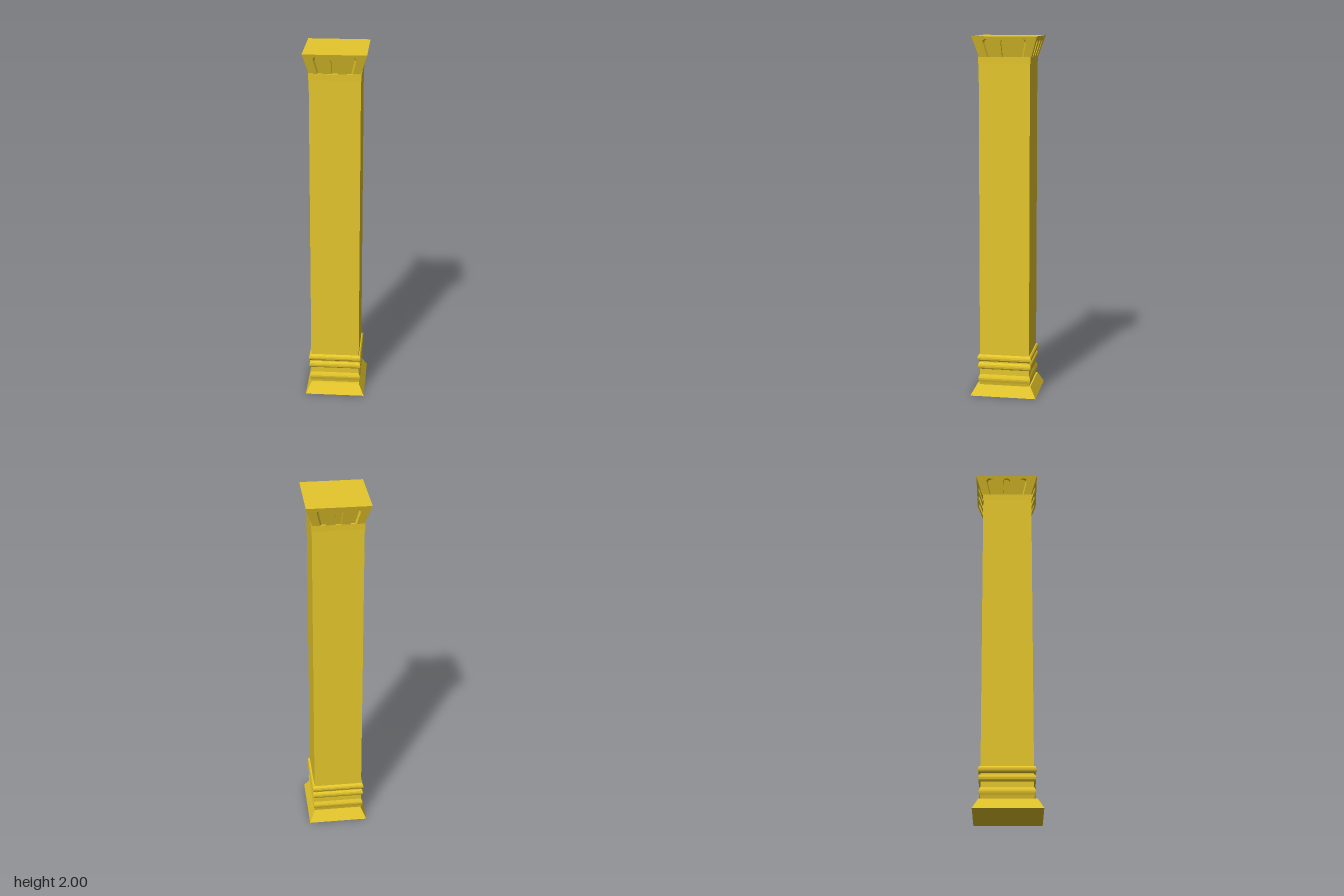
import * as THREE from 'three';

const material = new THREE.MeshStandardMaterial({ color: 0xe6c72c });

function addMesh(parent, name, geometry) {
  const mesh = new THREE.Mesh(geometry, material);
  mesh.name = name;
  parent.add(mesh);
  return mesh;
}

// Square-plan solid: profile of [half width, height] from bottom to top, closed at both ends.
// depthRatio stretches it along z.
function squareLoft(profile, depthRatio) {
  const ends = [[0, profile[0][1]], ...profile, [0, profile.at(-1)[1]]];
  const points = ends.map(([r, y]) => new THREE.Vector2(r * Math.SQRT2, y));
  const geometry = new THREE.LatheGeometry(points, 4, Math.PI / 4).toNonIndexed();
  geometry.scale(1, 1, depthRatio);
  geometry.computeVertexNormals();
  return geometry;
}

// Sloping capital face with three round-topped flutes open at the bottom.
function flutedPanel(y0, y1, depth, halfWidth, halfDepth) {
  const shape = new THREE.Shape();
  const r = 0.125, spring = y0 + 0.075, rise = 0.02;
  shape.moveTo(-1, y0);
  for (const c of [-0.58, 0, 0.58]) {
    shape.lineTo(c - r * 0.9, y0);
    shape.lineTo(c - r, spring);
    shape.absellipse(c, spring, r, rise, Math.PI, 0, true);
    shape.lineTo(c + r * 0.9, y0);
  }
  shape.lineTo(1, y0);
  shape.lineTo(1, y1);
  shape.lineTo(-1, y1);
  shape.closePath();
  const geometry = new THREE.ExtrudeGeometry(shape, { depth, bevelEnabled: false, curveSegments: 8 });
  // Bend the flat panel onto the flare, mitred at the corners
  const p = geometry.attributes.position;
  for (let i = 0; i < p.count; i++) {
    const y = p.getY(i), inset = depth - p.getZ(i);
    p.setXYZ(i, p.getX(i) * (halfWidth(y) - inset), y, halfDepth(y) - inset);
  }
  geometry.computeVertexNormals();
  return geometry;
}

export function createModel() {
  const column = new THREE.Group();
  column.name = 'squareColumn';

  // Flared foot
  const plinth = addMesh(column, 'plinth', squareLoft([[0.167, 0], [0.137, 0.06]], 1.11));
  plinth.scale.z = 1;
  plinth.position.x = 0.001;

  // Shaft and stacked base mouldings share one centre
  const body = new THREE.Group();
  body.name = 'body';
  body.position.set(-0.001, 0, -0.004);
  column.add(body);
  const ratio = 1.02;
  addMesh(body, 'shaft', squareLoft([[0.1365, 0.05], [0.1365, 1.87]], ratio));
  addMesh(body, 'lowerMoulding', squareLoft([
    [0.137, 0.06], [0.14, 0.075], [0.144, 0.088], [0.145, 0.098], [0.142, 0.108], [0.137, 0.12],
  ], ratio));

  // Two rounded rings
  [[0.15, 0.147], [0.196, 0.149]].forEach(([y, r], i) => {
    const profile = [];
    for (let k = 0; k <= 6; k++) {
      const t = (k / 6) * Math.PI;
      profile.push([0.136 + (r - 0.136) * Math.sin(t), y + 0.0195 * (1 - Math.cos(t))]);
    }
    addMesh(body, `ring${i + 1}`, squareLoft(profile, ratio));
  });
  addMesh(body, 'neckBand', squareLoft([[0.1385, 1.855], [0.1395, 1.89]], ratio));

  // Flared capital: recessed core with four fluted faces
  const capital = new THREE.Group();
  capital.name = 'capital';
  capital.position.set(-0.001, 0, -0.008);
  column.add(capital);
  const y0 = 1.89, y1 = 2, depth = 0.012;
  const flare = (low, high) => (y) => low + (high - low) * (y - y0) / (y1 - y0);
  const hx = flare(0.136, 0.169), hz = flare(0.142, 0.1765);
  const core = squareLoft([[hx(y0) - depth, y0], [hx(y1) - depth, y1]], (hz(y1) - depth) / (hx(y1) - depth));
  addMesh(capital, 'capitalCore', core);
  ['front', 'left', 'back', 'right'].forEach((side, i) => {
    const panel = i % 2 ? flutedPanel(y0, y1, depth, hz, hx) : flutedPanel(y0, y1, depth, hx, hz);
    addMesh(capital, `${side}FlutedFace`, panel).rotation.y = i * Math.PI / 2;
  });

  return column;
}
